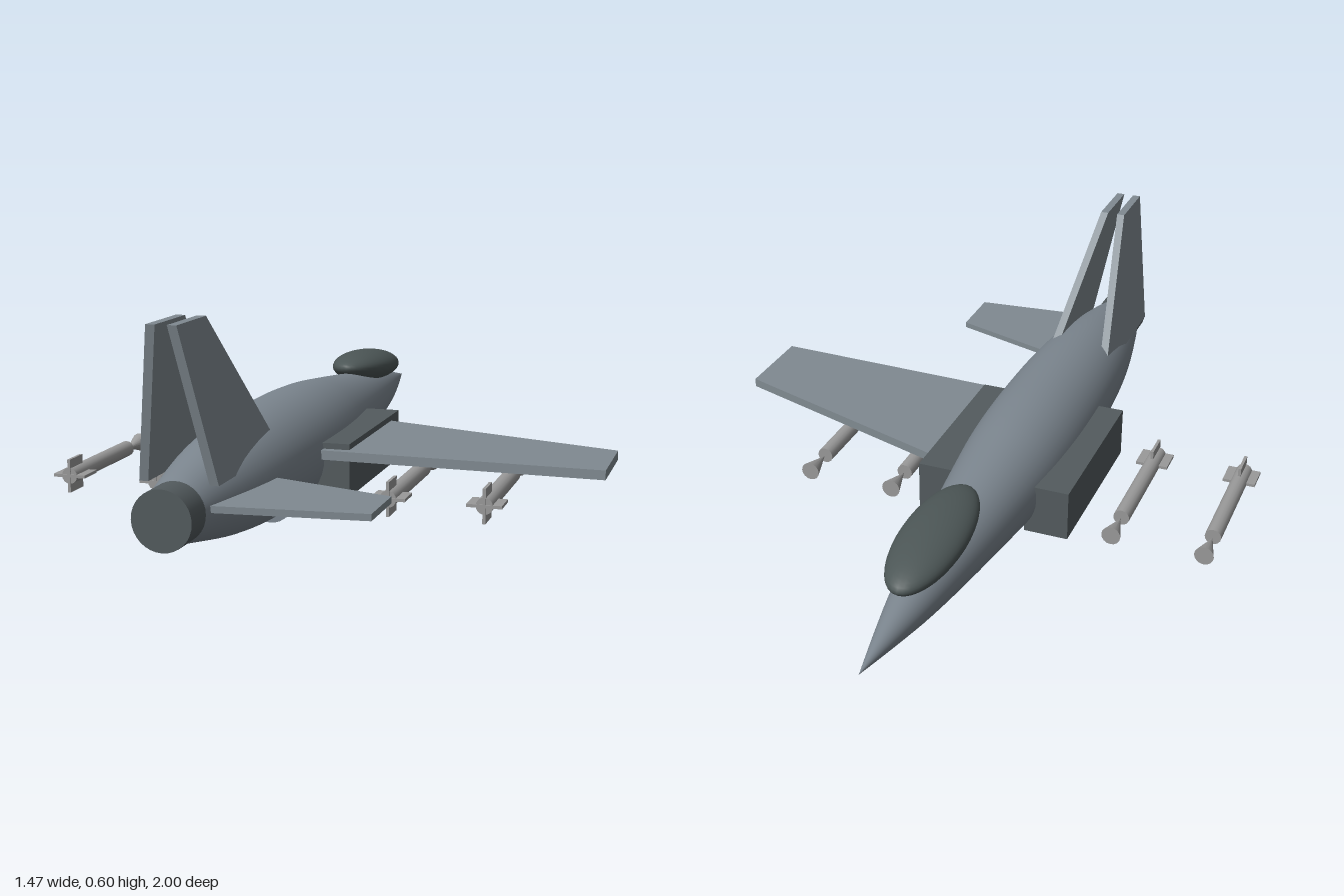
import * as THREE from 'three';

const mat = (name, color) => {
  const m = new THREE.MeshStandardMaterial({ color });
  m.name = name;
  return m;
};

export function createModel() {
  const hull = mat('hull grey', 0x7b858e);
  const panel = mat('wing grey', 0x808a91);
  const dark = mat('dark grey', 0x535b5e);
  const glass = mat('canopy glass', 0x4c5656);
  const steel = mat('missile grey', 0x9a9a9a);

  const jet = new THREE.Group();
  jet.name = 'jet';
  const CX = -0.13; // fuselage axis
  const CY = 0.18;

  const add = (parent, name, geo, material, x = 0, y = 0, z = 0) => {
    const mesh = new THREE.Mesh(geo, material);
    mesh.name = name;
    mesh.position.set(x, y, z);
    parent.add(mesh);
    return mesh;
  };
  const shapeOf = (pts) => new THREE.Shape(pts.map(([x, y]) => new THREE.Vector2(x, y)));
  const rod = (rFront, rBack, length, sides) =>
    new THREE.CylinderGeometry(rBack, rFront, length, sides).rotateX(Math.PI / 2);

  // Fuselage: smooth lathe along z, nose towards -z
  const profile = new THREE.SplineCurve([
    [0, -1], [0.031, -0.85], [0.06, -0.69], [0.09, -0.465], [0.125, -0.155], [0.139, 0],
    [0.145, 0.18], [0.14, 0.44], [0.121, 0.66], [0.085, 0.86], [0.071, 0.92],
  ].map(([r, z]) => new THREE.Vector2(r, z))).getPoints(40);
  profile[0].x = 0;
  add(jet, 'fuselage', new THREE.LatheGeometry(profile, 40).rotateX(Math.PI / 2), hull, CX, CY);

  // Exhaust nozzle and belly tank
  add(jet, 'nozzle', rod(0.071, 0.071, 0.11, 32), dark, CX, CY, 0.945);
  add(jet, 'bellyTank', rod(0.06, 0.06, 0.425, 28), hull, CX, 0.06, 0.096);

  // Canopy
  const canopy = add(jet, 'canopy', new THREE.SphereGeometry(1, 36, 24), glass, CX, 0.278, -0.575);
  canopy.scale.set(0.085, 0.047, 0.217);
  canopy.rotation.x = -0.09;

  // Side intakes
  for (const s of [-1, 1]) {
    add(jet, s > 0 ? 'leftIntake' : 'rightIntake',
      new THREE.BoxGeometry(0.12, 0.138, 0.48), dark, CX + s * 0.15, 0.149, 0.06);
  }

  // Wing and tailplane, outlined in x and z, on the +x side only
  const slab = (pts, thickness, top) =>
    new THREE.ExtrudeGeometry(shapeOf(pts), { depth: thickness, bevelEnabled: false })
      .rotateX(Math.PI / 2).translate(0, top, 0);
  add(jet, 'wing',
    slab([[-0.06, -0.145], [0.732, 0.108], [0.732, 0.34], [-0.06, 0.32]], 0.024, 0.203), panel);
  add(jet, 'tailplane',
    slab([[-0.06, 0.59], [0.302, 0.705], [0.302, 0.868], [-0.06, 0.903]], 0.016, 0.196), panel);

  // Twin tail fins, outlined in z and y, leaning inwards
  for (const s of [-1, 1]) {
    const fin = new THREE.ExtrudeGeometry(
      shapeOf([[0.877, 0.235], [0.957, 0.6], [0.79, 0.6], [0.468, 0.235]]),
      { depth: 0.022, bevelEnabled: false },
    ).rotateY(-Math.PI / 2).translate(0.011, 0, 0);
    const p = fin.attributes.position;
    for (let i = 0; i < p.count; i++) {
      p.setX(i, p.getX(i) - 0.14 + s * (0.0845 - 0.163 * (p.getY(i) - 0.235)));
    }
    fin.computeVertexNormals();
    add(jet, s > 0 ? 'leftFin' : 'rightFin', fin, panel);
  }

  // Four missiles: body, reversed cone at the nose, cross of tail fins
  [-0.695, -0.445, 0.187, 0.434].forEach((x, i) => {
    const missile = new THREE.Group();
    missile.name = `missile${i + 1}`;
    missile.position.set(x, 0.088, 0);
    jet.add(missile);
    add(missile, 'missileBody', rod(0.022, 0.022, 0.36, 16), steel, 0, 0, 0.14);
    add(missile, 'missileNose', rod(0.026, 0, 0.09, 16), steel, 0, 0, -0.089);
    add(missile, 'sideFins', new THREE.BoxGeometry(0.09, 0.008, 0.074), steel, 0, 0, 0.286);
    add(missile, 'uprightFins', new THREE.BoxGeometry(0.008, 0.09, 0.074), steel, 0, 0, 0.286);
  });

  return jet;
}
